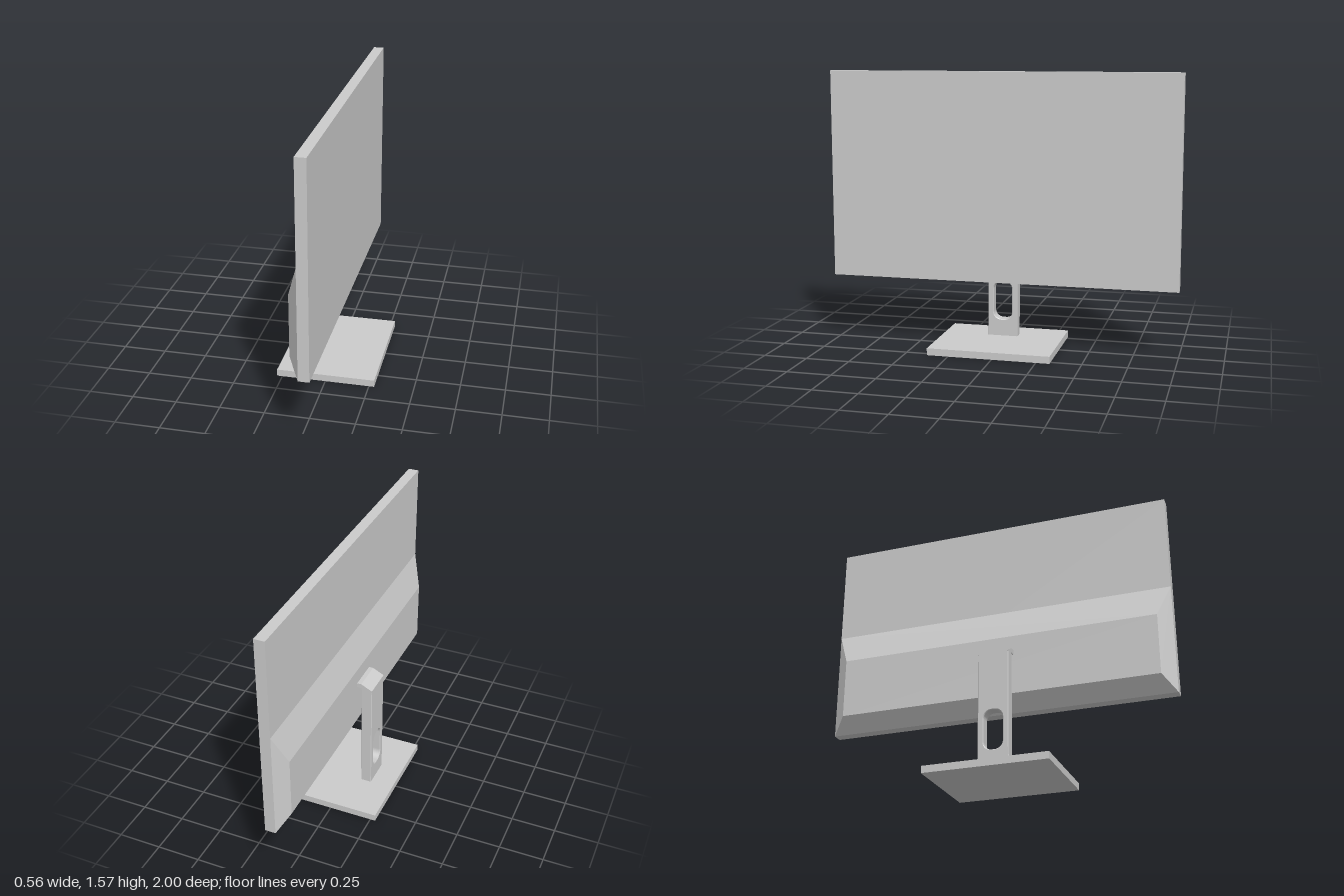
import * as THREE from 'three';

const material = new THREE.MeshStandardMaterial({ color: 0xcccccc });

function add(parent, name, geometry) {
  const mesh = new THREE.Mesh(geometry, material);
  mesh.name = name;
  parent.add(mesh);
  return mesh;
}

// Box given by its minimum and maximum corners
function boxBetween([x0, y0, z0], [x1, y1, z1]) {
  return new THREE.BoxGeometry(x1 - x0, y1 - y0, z1 - z0)
    .translate((x0 + x1) / 2, (y0 + y1) / 2, (z0 + z1) / 2);
}

// Rounded slot outline, centred on x = 0
function slotPath(width, bottom, top, r) {
  const w = width / 2;
  const path = new THREE.Path();
  path.absarc(w - r, top - r, r, 0, Math.PI / 2);
  path.absarc(-w + r, top - r, r, Math.PI / 2, Math.PI);
  path.absarc(-w + r, bottom + r, r, Math.PI, Math.PI * 1.5);
  path.absarc(w - r, bottom + r, r, Math.PI * 1.5, Math.PI * 2);
  path.closePath();
  return path;
}

// Rear housing: a box whose rear face is drawn in on all four sides
function housingGeometry() {
  const geometry = boxBetween([-0.055, 0.385, -1], [0.005, 1.01, 1]);
  const p = geometry.attributes.position;
  for (let i = 0; i < p.count; i++) {
    if (p.getX(i) > -0.02) continue;
    p.setY(i, p.getY(i) > 0.7 ? 0.825 : 0.48);
    p.setZ(i, Math.sign(p.getZ(i)) * 0.925);
  }
  geometry.computeVertexNormals();
  return geometry;
}

// Column: chamfered slab with a cable slot, extruded along x
function columnGeometry(width, centerZ) {
  const w = width / 2, bevel = 0.004;
  const shape = new THREE.Shape([
    new THREE.Vector2(-w, 0.03), new THREE.Vector2(w, 0.03),
    new THREE.Vector2(w, 0.705), new THREE.Vector2(-w, 0.705),
  ]);
  shape.holes.push(slotPath(0.11, 0.137, 0.362, 0.046));
  return new THREE.ExtrudeGeometry(shape, {
    depth: 0.063 - 2 * bevel, curveSegments: 6, bevelEnabled: true,
    bevelSegments: 1, bevelSize: bevel, bevelThickness: bevel, bevelOffset: -bevel,
  }).rotateY(Math.PI / 2).translate(-0.145 + bevel, 0, centerZ);
}

// Sloped head and arm reaching from the column to the housing
function armGeometry(width, centerZ) {
  const profile = [
    [-0.145, 0.695], [-0.082, 0.695], [-0.082, 0.71], [-0.054, 0.71],
    [-0.054, 0.737], [-0.08, 0.737], [-0.145, 0.705],
  ].map(([x, y]) => new THREE.Vector2(x, y));
  return new THREE.ExtrudeGeometry(new THREE.Shape(profile), {
    depth: width, bevelEnabled: false,
  }).translate(0, 0, centerZ - width / 2);
}

export function createModel() {
  const model = new THREE.Group();
  model.name = 'monitor';

  // Display facing +x
  const display = new THREE.Group();
  display.name = 'display';
  add(display, 'screenPanel', boxBetween([0.005, 0.385, -1], [0.065, 1.572, 1]));
  add(display, 'rearHousing', housingGeometry());

  // Stand, slightly off centre in z
  const stand = new THREE.Group();
  stand.name = 'stand';
  const width = 0.175, centerZ = 0.023;
  add(stand, 'base', boxBetween([-0.28, 0, -0.327], [0.28, 0.04, 0.372]));
  add(stand, 'column', columnGeometry(width, centerZ));
  add(stand, 'arm', armGeometry(width, centerZ));

  model.add(display, stand);
  return model;
}
